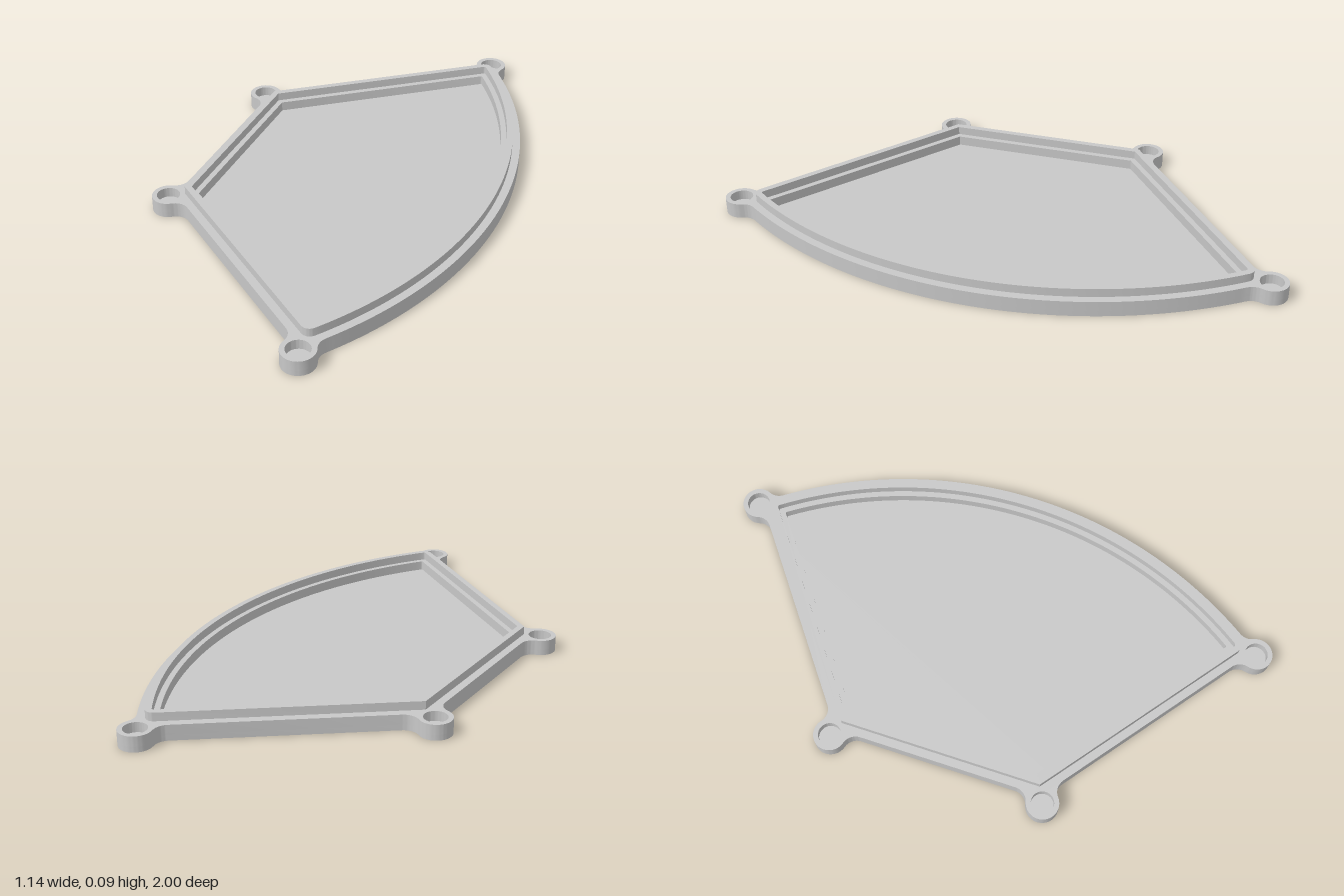
import * as THREE from 'three';
import { toCreasedNormals } from 'three/addons/utils/BufferGeometryUtils.js';

const V = (x, y) => new THREE.Vector2(x, y);
const EDGE_X = -0.49, LINE = 0.594, ARC_R = 1.5;    // flange edges: short side, slanted sides, arc
const O = V(-0.932, 0);                             // arc centre
const N = V(-0.609, 0.793), T = V(0.793, 0.609);    // slanted side normal and direction
const BOSS_R = 0.057, HOLE_R = 0.04, FILLET = 0.05;
const BOSSES = [V(-0.513, 0.385), V(0.233, 0.943)];
const FLOOR_Y = 0.02, FLANGE_Y = 0.055, RIM_Y = 0.085;

const along = (p, dir, s) => p.clone().addScaledVector(dir, s);

// points on an arc around c from p to q, dir = 1 anticlockwise, -1 clockwise
function arc(c, p, q, dir, n = 14) {
  const r = c.distanceTo(p), a = p.clone().sub(c).angle();
  let sweep = (q.clone().sub(c).angle() - a) * dir;
  if (sweep < 0) sweep += Math.PI * 2;
  return Array.from({ length: n + 1 }, (_, i) => {
    const t = a + dir * sweep * i / n;
    return V(c.x + r * Math.cos(t), c.y + r * Math.sin(t));
  });
}

// join a half outline to its mirror image, running anticlockwise
function mirrored(half) {
  const other = half.filter(p => Math.abs(p.y) > 1e-6).reverse().map(p => V(p.x, -p.y));
  return half.concat(other).reverse();
}

// pane outline moved inwards from the flange edge by d, with rounded tips
function paneLoop(d) {
  const x = EDGE_X + d, c = LINE - d, r = ARC_R - d;
  const round = Math.max(0.005, 0.058 - d);
  const k = c - round - N.dot(O);
  const centre = along(along(O, N, k), T, Math.sqrt((r - round) ** 2 - k * k));
  const arcStart = along(O, centre.clone().sub(O).normalize(), r);
  return mirrored([
    V(x, (c - N.x * x) / N.y),
    ...arc(centre, along(centre, N, round), arcStart, -1, 10),
    ...arc(O, arcStart, V(O.x + r, 0), -1, 40).slice(1),
  ]);
}

// flange outline with filleted corner bosses
function flangeLoop() {
  const [A, B] = BOSSES, reach = BOSS_R + FILLET;
  const onBoss = (b, f) => along(b, f.clone().sub(b).normalize(), BOSS_R);
  // fillet centre beside a straight edge with normal n, on side s along direction t
  const beside = (b, n, t, c, s) => {
    const h = c + FILLET - n.dot(b);
    return along(along(b, n, h), t, s * Math.sqrt(reach * reach - h * h));
  };
  const f1 = beside(A, V(-1, 0), V(0, 1), -EDGE_X, -1);
  const f2 = beside(A, N, T, LINE, 1);
  const f3 = beside(B, N, T, LINE, -1);
  // fillet centre beside the large arc
  const u = B.clone().sub(O), d = u.length(), R = ARC_R + FILLET;
  u.normalize();
  const a = (d * d + R * R - reach * reach) / (2 * d);
  const f4 = along(along(O, u, a), V(u.y, -u.x), Math.sqrt(R * R - a * a));
  const arcStart = along(O, f4.clone().sub(O).normalize(), ARC_R);
  return mirrored([
    ...arc(f1, along(f1, V(1, 0), FILLET), onBoss(A, f1), 1),
    ...arc(A, onBoss(A, f1), onBoss(A, f2), -1, 32).slice(1),
    ...arc(f2, onBoss(A, f2), along(f2, N, -FILLET), 1).slice(1),
    ...arc(f3, along(f3, N, -FILLET), onBoss(B, f3), 1),
    ...arc(B, onBoss(B, f3), onBoss(B, f4), -1, 32).slice(1),
    ...arc(f4, onBoss(B, f4), arcStart, 1).slice(1),
    ...arc(O, arcStart, V(O.x + ARC_R, 0), -1, 40).slice(1),
  ]);
}

export function createModel() {
  const grey = new THREE.MeshStandardMaterial({ color: 0xc8c8c8 });
  grey.name = 'lightGrey';
  const group = new THREE.Group();
  group.name = 'panelCover';

  function slab(name, outline, holes, y0, y1) {
    const shape = new THREE.Shape(outline);
    shape.holes = holes;
    const geo = new THREE.ExtrudeGeometry(shape, { depth: y1 - y0, bevelEnabled: false, curveSegments: 40 });
    geo.rotateX(-Math.PI / 2).translate(0, y0, 0);
    const mesh = new THREE.Mesh(toCreasedNormals(geo, 0.5), grey);
    mesh.name = name;
    group.add(mesh);
  }

  const flange = flangeLoop();
  const screwHoles = BOSSES.flatMap(b => [1, -1].map(s =>
    new THREE.Path().absarc(b.x, s * b.y, HOLE_R, 0, Math.PI * 2, true)));

  // closed floor, flange with pocket and blind screw holes, raised lip
  slab('floor', flange, [], 0, FLOOR_Y);
  slab('flange', flange, [new THREE.Path(paneLoop(0.07)), ...screwHoles], FLOOR_Y, FLANGE_Y);
  slab('raisedRim', paneLoop(0.028), [new THREE.Path(paneLoop(0.05))], FLANGE_Y, RIM_Y);
  return group;
}
